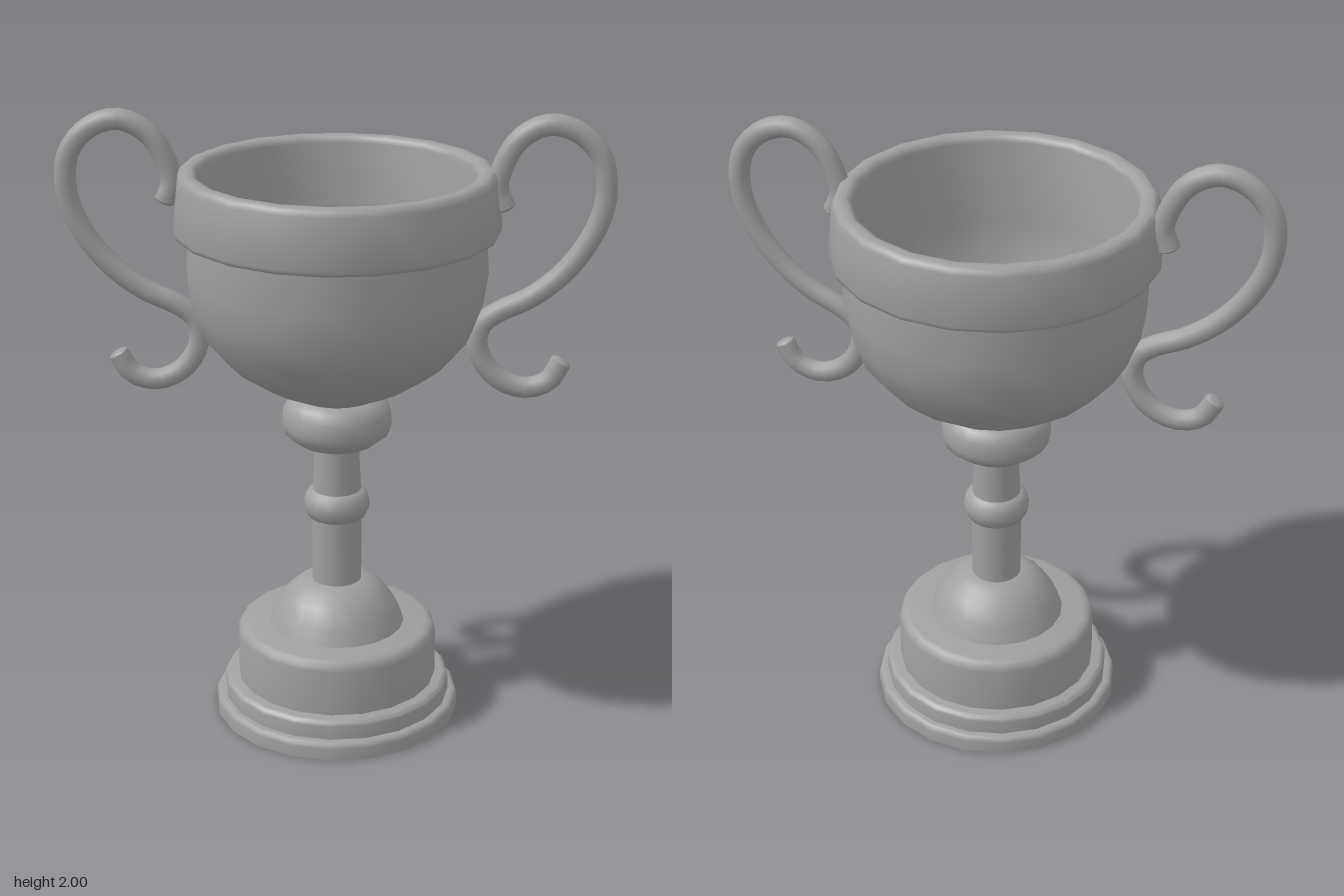
import * as THREE from 'three';
import { toCreasedNormals } from 'three/addons/utils/BufferGeometryUtils.js';

const metal = new THREE.MeshStandardMaterial({ color: 0x9f9f9f });
const SIDES = 20;

// Turned part from [radius, height] pairs, listed bottom to top on the outside
function turned(name, profile, crease = 0.9) {
  const points = profile.map(([r, y]) => new THREE.Vector2(r, y));
  const geometry = toCreasedNormals(new THREE.LatheGeometry(points, SIDES), crease);
  const mesh = new THREE.Mesh(geometry, metal);
  mesh.name = name;
  return mesh;
}

// Round disc with a small rounded top edge
function tier(name, radius, bottom, top, bevel) {
  const profile = [[0, bottom], [radius, bottom]];
  for (let i = 0; i <= 3; i++) {
    const a = (i / 3) * Math.PI / 2;
    profile.push([radius - bevel + bevel * Math.cos(a), top - bevel + bevel * Math.sin(a)]);
  }
  profile.push([0, top]);
  return turned(name, profile);
}

// S-shaped handle with blunt rounded ends, pivoting about the middle of its upper loop
const PIVOT = new THREE.Vector3(0.65, 1.75, 0);
function handle(name) {
  const path = new THREE.CatmullRomCurve3([
    [0.52, 1.715], [0.499, 1.77], [0.52, 1.85], [0.57, 1.925], [0.656, 1.965],
    [0.745, 1.94], [0.81, 1.868], [0.828, 1.778], [0.812, 1.683], [0.76, 1.582],
    [0.683, 1.492], [0.587, 1.423], [0.492, 1.381], [0.438, 1.339], [0.424, 1.275],
    [0.448, 1.206], [0.502, 1.152], [0.575, 1.13], [0.645, 1.153], [0.682, 1.212],
  ].map(([x, y]) => new THREE.Vector3(x, y, 0).sub(PIVOT)));
  const radius = 0.034;
  const group = new THREE.Group();
  group.name = name;
  group.scale.z = 0.86;
  const tube = new THREE.Mesh(new THREE.TubeGeometry(path, 56, radius, 10), metal);
  tube.name = 'handleTube';
  group.add(tube);
  for (const t of [0, 1]) {
    const end = new THREE.Mesh(new THREE.SphereGeometry(radius, 10, 8), metal);
    end.name = 'handleEnd';
    end.scale.y = 0.4;
    end.position.copy(path.getPointAt(t));
    end.quaternion.setFromUnitVectors(new THREE.Vector3(0, 1, 0), path.getTangentAt(t));
    group.add(end);
  }
  return group;
}

export function createModel() {
  const trophy = new THREE.Group();
  trophy.name = 'trophyCup';
  const body = new THREE.Group();
  body.name = 'body';
  body.position.x = 0.007;

  // Stepped base
  body.add(
    tier('baseFoot', 0.4, 0, 0.057, 0.018),
    tier('baseStep', 0.37, 0.05, 0.12, 0.018),
    tier('basePlinth', 0.325, 0.11, 0.305, 0.032),
  );

  // Dome, stem, ring and knob
  body.add(
    turned('baseDome', [[0.222, 0.3], [0.199, 0.356], [0.165, 0.408], [0.125, 0.442], [0.085, 0.456], [0, 0.456]]),
    turned('stem', [[0.08, 0.44], [0.08, 0.72], [0.07, 0.94]]),
    turned('stemRing', [
      [0.075, 0.672], [0.092, 0.68], [0.104, 0.705], [0.106, 0.727],
      [0.1, 0.752], [0.086, 0.768], [0.07, 0.774],
    ], 1),
    turned('knob', [
      [0, 0.918], [0.08, 0.918], [0.125, 0.937], [0.168, 0.972], [0.175, 1.0],
      [0.171, 1.045], [0.155, 1.075], [0.125, 1.09], [0, 1.09],
    ]),
  );

  // Hollow bowl with its raised rim band and rounded lip
  body.add(turned('bowl', [
    [0, 1.073], [0.12, 1.088], [0.237, 1.143], [0.34, 1.213], [0.422, 1.31],
    [0.454, 1.4], [0.468, 1.5], [0.46, 1.626],
    [0.488, 1.626], [0.501, 1.632], [0.505, 1.645], [0.489, 1.8], [0.483, 1.815],
    [0.47, 1.822], [0.447, 1.822], [0.433, 1.815], [0.428, 1.8],
    [0.427, 1.52], [0.408, 1.39], [0.365, 1.285], [0.29, 1.207], [0.2, 1.155], [0.1, 1.122], [0, 1.112],
  ]));

  // Pair of handles, the left one leaning slightly
  const left = handle('leftHandle');
  left.position.copy(PIVOT);
  left.position.x -= 0.003;
  left.rotation.set(0, -0.03, 0.05);
  const right = handle('rightHandle');
  right.position.set(-PIVOT.x, PIVOT.y, 0);
  right.rotation.y = Math.PI;
  trophy.add(body, left, right);

  return trophy;
}
